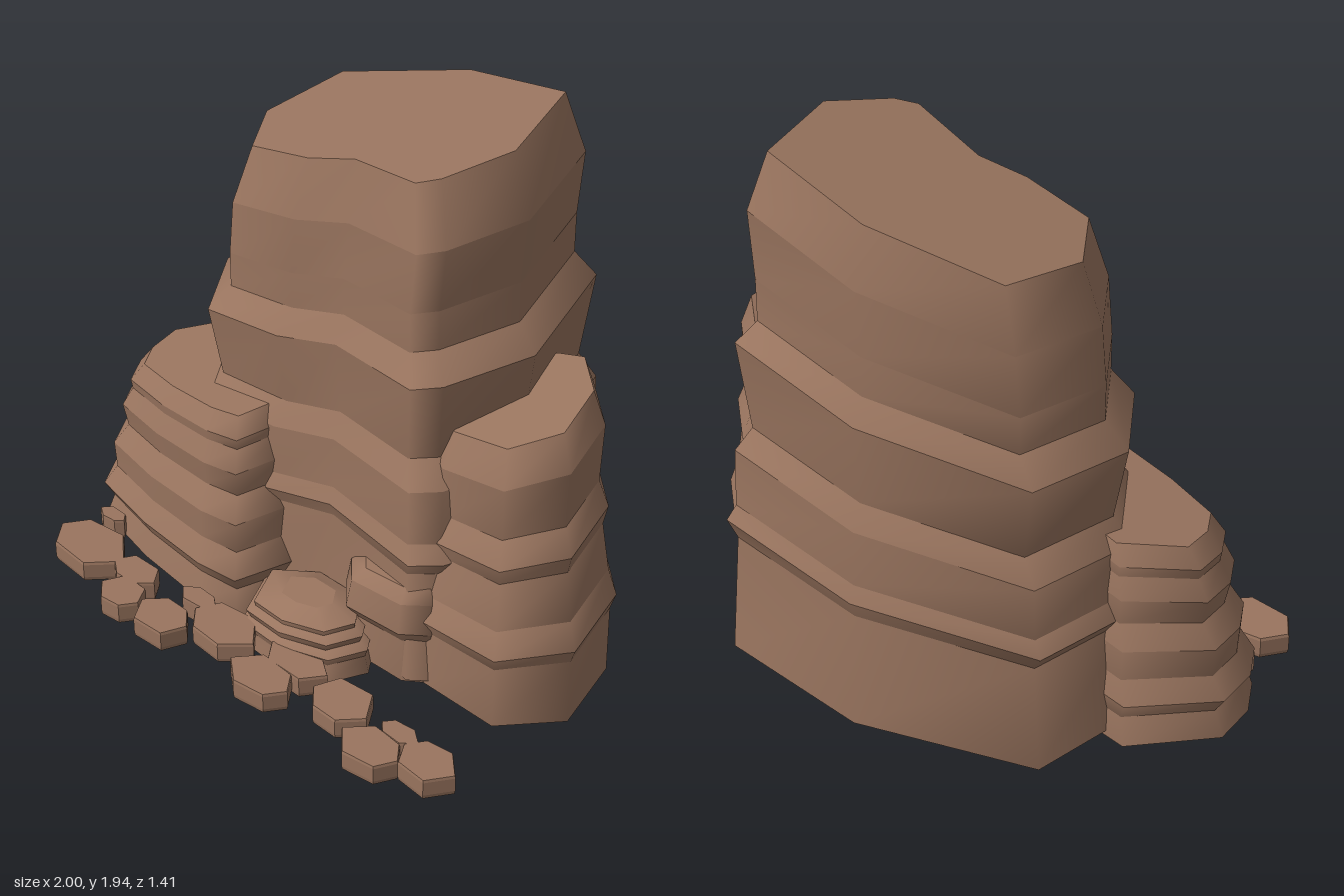
import * as THREE from 'three';

// Stack of scaled copies of one outline, smooth around and crisp between layers.
// outline: [x, z] points; rings: [height, scale, shiftX]; tilt: slope per unit height in x and z
function strata(outline, [cx, cz], rings, [tx, tz] = [0, 0], flatSides = false) {
  let flat = outline.map(([x, z]) => new THREE.Vector2(x - cx, cz - z));
  if (THREE.ShapeUtils.isClockWise(flat)) flat = flat.reverse();
  const n = flat.length, pos = [], index = [];
  const addRing = ([y, s, ox = 0]) => {
    const start = pos.length / 3;
    for (const p of flat) {
      const dx = p.x * s, dz = -p.y * s;
      pos.push(cx + dx + ox, y + Math.max(0, y - 0.04) * (tx * dx + tz * dz), cz + dz);
    }
    return start;
  };
  for (let r = 0; r < rings.length - 1; r++) {
    const low = addRing(rings[r]), high = addRing(rings[r + 1]);
    for (let i = 0; i < n; i++) {
      const j = (i + 1) % n;
      index.push(low + i, low + j, high + j, low + i, high + j, high + i);
    }
  }
  // flat base and top
  const base = addRing(rings[0]), top = addRing(rings[rings.length - 1]);
  for (const [a, b, c] of THREE.ShapeUtils.triangulateShape(flat, [])) {
    index.push(top + a, top + b, top + c, base + c, base + b, base + a);
  }
  let g = new THREE.BufferGeometry();
  g.setAttribute('position', new THREE.Float32BufferAttribute(pos, 3));
  g.setIndex(index);
  if (flatSides) g = g.toNonIndexed();
  g.computeVertexNormals();
  return g;
}

export function createModel() {
  const model = new THREE.Group();
  model.name = 'rockFormation';
  const rock = new THREE.MeshStandardMaterial({ color: 0x9a755f });
  rock.name = 'brown rock';
  const add = (name, geometry, parent = model) => {
    const mesh = new THREE.Mesh(geometry, rock);
    mesh.name = name;
    parent.add(mesh);
    return mesh;
  };

  // Tall central column with a hollow front
  add('mainColumn', strata(
    [[-0.64, -0.52], [-0.02, -0.71], [0.57, -0.65], [0.71, -0.12], [0.56, 0.19], [0.47, 0.26],
      [0.05, 0.17], [-0.18, 0.23], [-0.53, 0.22], [-0.72, -0.08]],
    [0, -0.26],
    [[0.05, 1], [0.47, 0.95], [0.53, 1], [0.59, 0.95], [0.79, 0.94], [0.88, 0.85],
      [1.17, 0.91], [1.26, 0.8], [1.4, 0.8], [1.62, 0.8, 0.02], [1.83, 0.7, 0.015]],
    [0.135, -0.04]));

  // Lower column on the right
  add('rightColumn', strata(
    [[0.6, -0.42], [0.74, -0.44], [0.94, -0.25], [1.0, 0.05], [0.82, 0.24], [0.5, 0.23],
      [0.36, 0.14], [0.3, -0.25]],
    [0.55, -0.18],
    [[0.03, 0.96], [0.28, 0.95], [0.34, 1], [0.43, 0.91], [0.6, 0.83], [0.67, 0.87],
      [0.76, 0.77], [0.97, 0.79], [1.09, 0.67]],
    [0.21, -0.19]));

  // Overhanging foot in front of the right column
  add('rightFoot', strata(
    [[0.14, 0.19], [0.22, 0.28], [0.45, 0.28], [0.54, 0.22], [0.5, 0], [0.2, 0.02]],
    [0.42, 0.1],
    [[0.03, 0.86], [0.21, 0.85], [0.26, 1], [0.38, 0.93], [0.43, 0.75]],
    [0.2, -0.1]));

  // Broad low column on the left
  add('leftColumn', strata(
    [[-0.77, -0.24], [-1, 0], [-0.99, 0.17], [-0.92, 0.3], [-0.65, 0.37], [-0.35, 0.41],
      [-0.18, 0.4], [-0.1, 0.2], [-0.2, -0.15]],
    [-0.45, -0.02],
    [[0.03, 1], [0.14, 0.94], [0.2, 1], [0.29, 0.91], [0.41, 0.92], [0.5, 0.82],
      [0.6, 0.85], [0.68, 0.78], [0.72, 0.79], [0.79, 0.7]],
    [0.21, -0.1]));

  // Small stepped rock between the columns, slightly leaning
  add('smallRock', strata(
    [[-0.18, 0.25], [0, 0.14], [0.25, 0.16], [0.34, 0.3], [0.27, 0.42], [0.08, 0.47], [-0.1, 0.45]],
    [0.09, 0.3],
    [[0.012, 1], [0.08, 0.95], [0.11, 1], [0.13, 0.86], [0.16, 0.92], [0.18, 0.78],
      [0.2, 0.8], [0.235, 0.4]],
    [0.1, -0.2])).rotation.z = 0.05;

  // Row of flat stepping stones: x, z, half width, half depth
  const stones = new THREE.Group();
  stones.name = 'steppingStones';
  model.add(stones);
  [[-0.77, 0.51, 0.16, 0.1], [-0.51, 0.62, 0.09, 0.07], [-0.32, 0.62, 0.11, 0.08],
    [-0.12, 0.51, 0.14, 0.09], [0.13, 0.61, 0.13, 0.08], [0.18, 0.48, 0.13, 0.07],
    [0.42, 0.52, 0.12, 0.09], [0.62, 0.62, 0.12, 0.08], [0.81, 0.55, 0.11, 0.08],
    [-0.55, 0.51, 0.1, 0.06], [-0.29, 0.47, 0.08, 0.04], [0.66, 0.51, 0.08, 0.04],
    [-0.83, 0.35, 0.06, 0.03]].forEach(([x, z, w, d], i) => {
    const outline = [];
    for (let k = 0; k < 6; k++) {
      const a = k * Math.PI / 3 + 0.18 * Math.sin(i * 2.3 + k);
      outline.push([x + w * Math.cos(a), z + d * 1.08 * Math.sin(a)]);
    }
    add('steppingStone', strata(outline, [x, z],
      [[0.035, 0.97], [0.05, 1], [0.105, 1], [0.115, 0.97]], [0, 0], true), stones);
  });

  return model;
}
